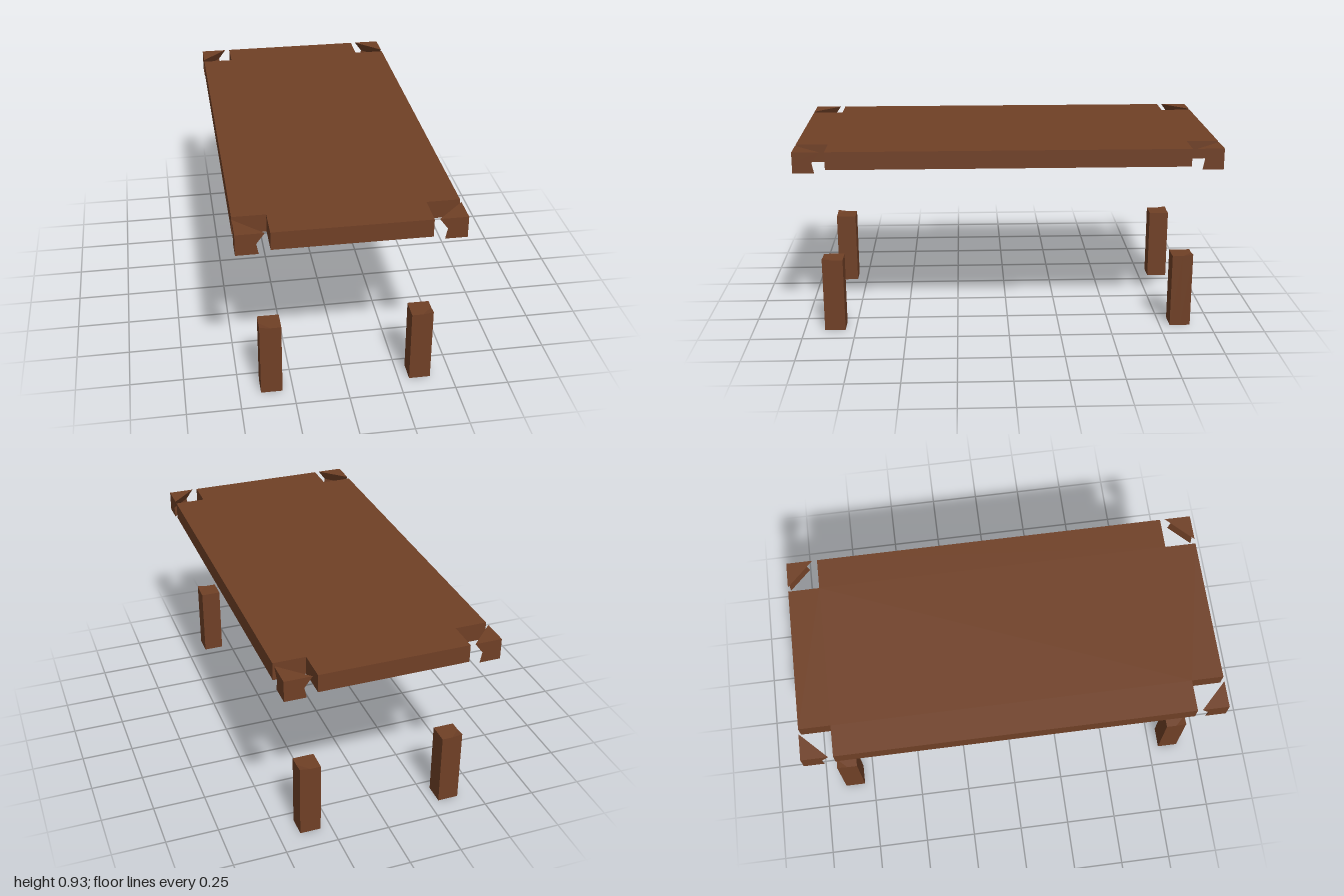
import * as THREE from 'three';

const wood = new THREE.MeshStandardMaterial({ color: 0x704026, flatShading: true });

// Cross-shaped slab with square notches at its corners
function makeTop() {
  const w = 0.5, d = 1, n = 0.15;
  const pts = [
    [w - n, -d], [w - n, -d + n], [w, -d + n], [w, d - n], [w - n, d - n], [w - n, d],
    [-w + n, d], [-w + n, d - n], [-w, d - n], [-w, -d + n], [-w + n, -d + n], [-w + n, -d],
  ].map(([x, y]) => new THREE.Vector2(x, y));
  const geo = new THREE.ExtrudeGeometry(new THREE.Shape(pts), { depth: 0.085, bevelEnabled: false });
  geo.rotateX(-Math.PI / 2);
  geo.translate(0, 0.84, 0);
  return geo;
}

// Corner block: three stacked triangles, pinched at mid height
function makeCorner() {
  const rings = [[0.825, 0.1], [0.875, 0.09], [0.925, 0.127]].map(([y, s]) => [
    [0, y, 0], [0, y, -s], [-s, y, 0],
  ]);
  const pos = [];
  const tri = (...corners) => corners.forEach((c) => pos.push(...c));
  for (let r = 0; r < 2; r++) {
    const lo = rings[r], hi = rings[r + 1];
    for (let i = 0; i < 3; i++) {
      const j = (i + 1) % 3;
      tri(lo[i], lo[j], hi[j]);
      tri(lo[i], hi[j], hi[i]);
    }
  }
  tri(...rings[2]);
  tri(rings[0][0], rings[0][2], rings[0][1]);
  const geo = new THREE.BufferGeometry();
  geo.setAttribute('position', new THREE.Float32BufferAttribute(pos, 3));
  geo.computeVertexNormals();
  return geo;
}

// Square leg whose outer top corner is slightly raised
function makeLeg() {
  const h = 0.362;
  const geo = new THREE.BoxGeometry(0.1, h, 0.1, 2, 1, 2);
  geo.translate(0, h / 2, 0);
  const p = geo.attributes.position;
  for (let i = 0; i < p.count; i++) {
    if (p.getX(i) > 0.04 && p.getZ(i) > 0.04 && p.getY(i) > 0.3) p.setY(i, 0.369);
  }
  geo.computeVertexNormals();
  return geo;
}

export function createModel() {
  const model = new THREE.Group();
  model.name = 'table';
  const add = (name, geo) => {
    const mesh = new THREE.Mesh(geo, wood);
    mesh.name = name;
    model.add(mesh);
    return mesh;
  };

  add('tableTop', makeTop());

  // One leg and one corner block per corner, turned to face outward
  const corner = makeCorner(), leg = makeLeg();
  const places = [
    ['frontLeft', 1, 1, 0], ['backLeft', 1, -1, 1],
    ['backRight', -1, -1, 2], ['frontRight', -1, 1, 3],
  ];
  for (const [name, sx, sz, turns] of places) {
    const block = add(name + 'CornerBlock', corner);
    block.position.set(sx * 0.5, 0, sz);
    block.rotation.y = turns * Math.PI / 2;
    const post = add(name + 'Leg', leg);
    post.position.set(sx * 0.35, 0, sz * 0.85);
    post.rotation.y = turns * Math.PI / 2;
  }
  return model;
}
